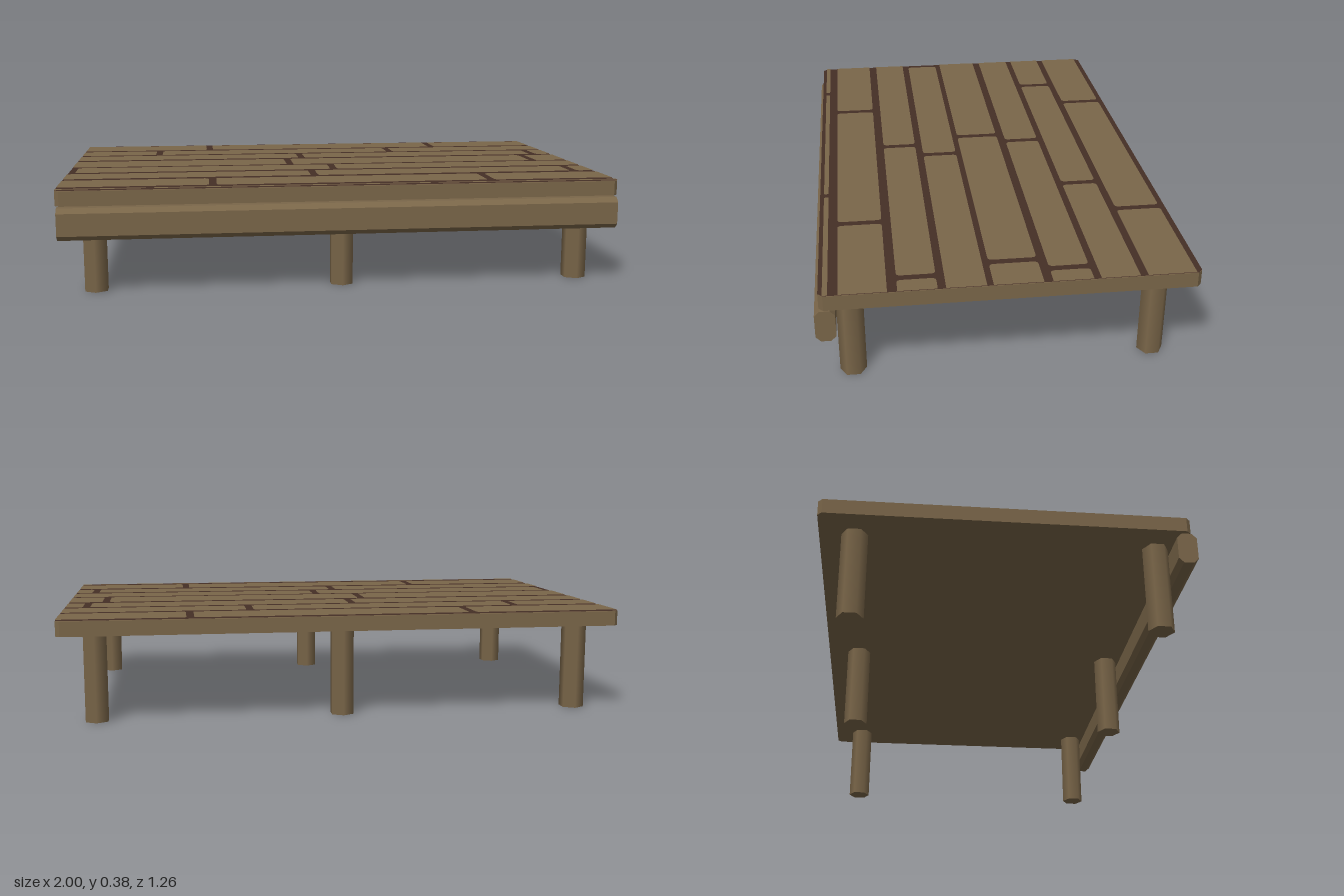
import * as THREE from 'three';

const wood = new THREE.MeshStandardMaterial({ color: 0x7a6649 });
wood.name = 'wood';
const gap = new THREE.MeshStandardMaterial({ color: 0x452f26 });
gap.name = 'dark gap';

// Rectangle with cut corners
function chamferedRect(x0, y0, x1, y1, c) {
  return new THREE.Shape([
    [x0 + c, y0], [x1 - c, y0], [x1, y0 + c], [x1, y1 - c],
    [x1 - c, y1], [x0 + c, y1], [x0, y1 - c], [x0, y0 + c],
  ].map(([x, y]) => new THREE.Vector2(x, y)));
}

// Plank outline, rounded only at ends that meet a gap (l, r are end radii)
function plankShape(x0, y0, x1, y1, l, r) {
  const s = new THREE.Shape();
  s.moveTo(x0 + l, y0);
  s.lineTo(x1 - r, y0);
  s.quadraticCurveTo(x1, y0, x1, y0 + r);
  s.lineTo(x1, y1 - r);
  s.quadraticCurveTo(x1, y1, x1 - r, y1);
  s.lineTo(x0 + l, y1);
  s.quadraticCurveTo(x0, y1, x0, y1 - l);
  s.lineTo(x0, y0 + l);
  s.quadraticCurveTo(x0, y0, x0 + l, y0);
  return s;
}

export function createModel() {
  const model = new THREE.Group();
  model.name = 'woodenDeck';
  const add = (geometry, material, name, parent = model) => {
    const mesh = new THREE.Mesh(geometry, material);
    mesh.name = name;
    parent.add(mesh);
    return mesh;
  };

  // Deck slab; shape y runs along -z once laid flat
  const outline = chamferedRect(-1, -0.616, 1, 0.628, 0.015);
  const slab = new THREE.ExtrudeGeometry(outline, { depth: 0.053, bevelEnabled: false });
  slab.rotateX(-Math.PI / 2);
  add(slab, wood, 'deckSlab').position.y = 0.319;

  // Dark layer seen between the planks
  const layer = new THREE.ShapeGeometry(outline).rotateX(-Math.PI / 2);
  add(layer, gap, 'plankGaps').position.y = 0.3735;

  // Plank rows: [back z, front z, centres of the gaps along x]
  const planks = new THREE.Group();
  planks.name = 'planks';
  planks.position.y = 0.3755;
  model.add(planks);
  const rows = [
    [-0.607, -0.446, -0.46, 0.545],
    [-0.420, -0.291, -0.677, 0.325],
    [-0.267, -0.134, -0.08, 0.922],
    [-0.104, 0.059, -0.145, 0.86],
    [0.080, 0.211, -0.988, 0.013],
    [0.238, 0.366, -0.08, 0.922],
    [0.398, 0.553, -0.46, 0.545],
    [0.585, 0.602, -0.677, 0.325],
  ];
  const half = 0.0135;
  for (const [back, front, ...joints] of rows) {
    const cuts = [-1 - half, ...joints, 1 + half];
    const radius = Math.min(0.016, (front - back) * 0.3);
    for (let i = 0; i < cuts.length - 1; i++) {
      const x0 = cuts[i] + half, x1 = cuts[i + 1] - half;
      if (x1 - x0 < 0.03) continue;
      const shape = plankShape(x0, -front, x1, -back,
        i > 0 ? radius : 0, i < cuts.length - 2 ? radius : 0);
      add(new THREE.ShapeGeometry(shape, 4).rotateX(-Math.PI / 2), wood, 'plank', planks);
    }
  }

  // Front beam, chamfered along its length
  const beam = new THREE.ExtrudeGeometry(
    chamferedRect(-0.632, 0.2, -0.565, 0.313, 0.017),
    { depth: 1.99, bevelEnabled: false },
  );
  beam.rotateY(Math.PI / 2);
  add(beam, wood, 'frontBeam').position.x = -0.995;

  // Six-sided posts in two rows of three
  const post = new THREE.CylinderGeometry(0.045, 0.045, 0.325, 6);
  for (const z of [0.52, -0.508]) {
    for (const x of [-0.877, 0, 0.877]) {
      add(post, wood, z > 0 ? 'frontPost' : 'backPost').position.set(x, 0.1625, z);
    }
  }
  return model;
}
